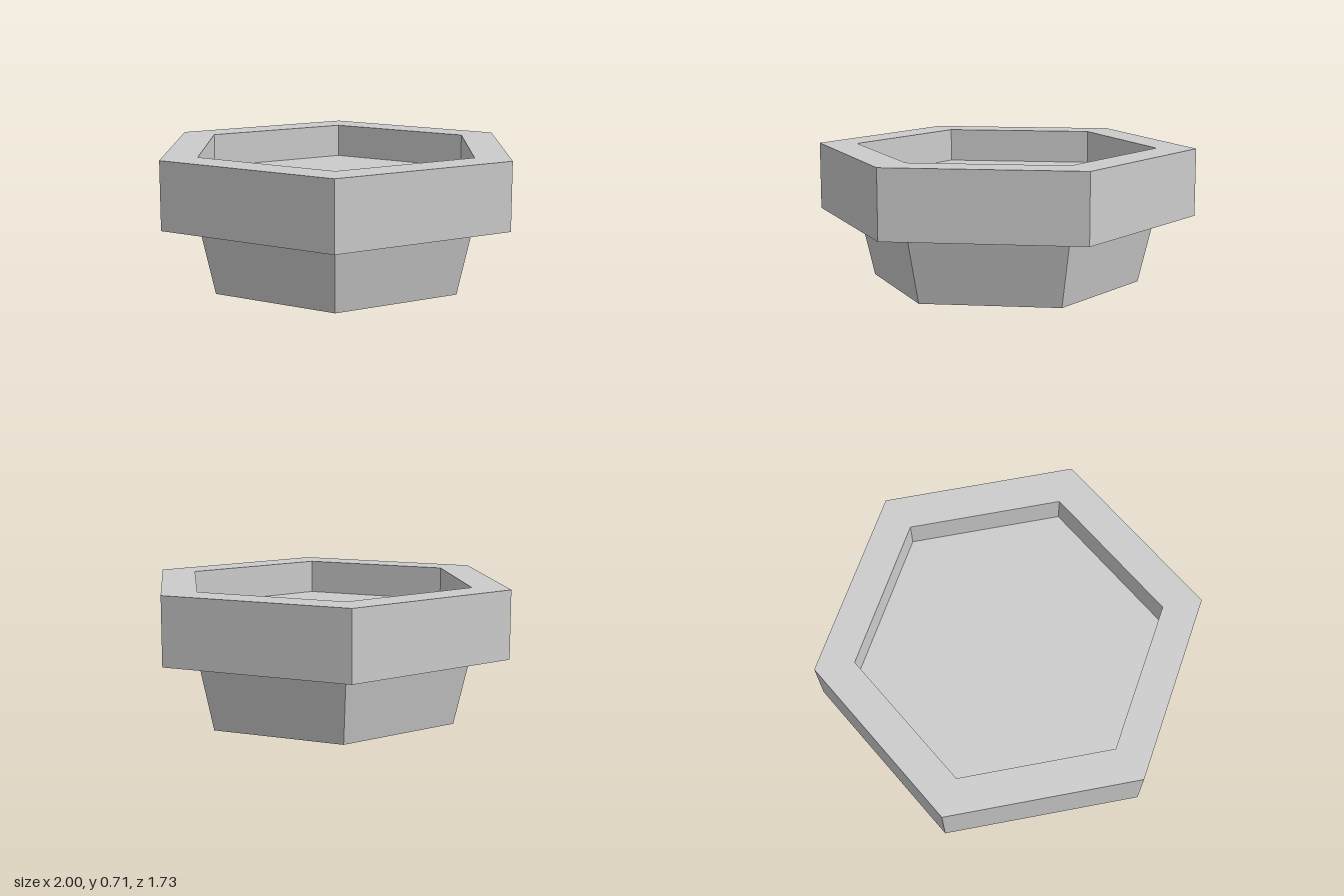
import * as THREE from 'three';

// Six-sided faceted shell turned from a [radius, height] profile, corners on the x axis
function hexShell(name, profile, material) {
  const points = profile.map(([r, y]) => new THREE.Vector2(r, y));
  const geometry = new THREE.LatheGeometry(points, 6, Math.PI / 2).toNonIndexed();
  geometry.computeVertexNormals();
  const mesh = new THREE.Mesh(geometry, material);
  mesh.name = name;
  return mesh;
}

export function createModel() {
  const group = new THREE.Group();
  group.name = 'hexagonalPlanter';

  const stone = new THREE.MeshStandardMaterial({ color: 0xcccccc });
  stone.name = 'lightGrey';

  const rimBottom = 0.36, rimTop = 0.714, floorY = 0.535, inner = 0.795;

  // Tapered base with a closed underside
  group.add(hexShell('base', [[0, 0], [0.71, 0], [inner, rimBottom]], stone));

  // Overhanging rim: underside, outer wall, top ledge, recess wall
  group.add(hexShell('rim', [
    [inner, rimBottom], [1, rimBottom], [1, rimTop], [inner, rimTop], [inner, floorY],
  ], stone));

  // Floor of the recess
  group.add(hexShell('recessFloor', [[inner, floorY], [0, floorY]], stone));

  return group;
}
